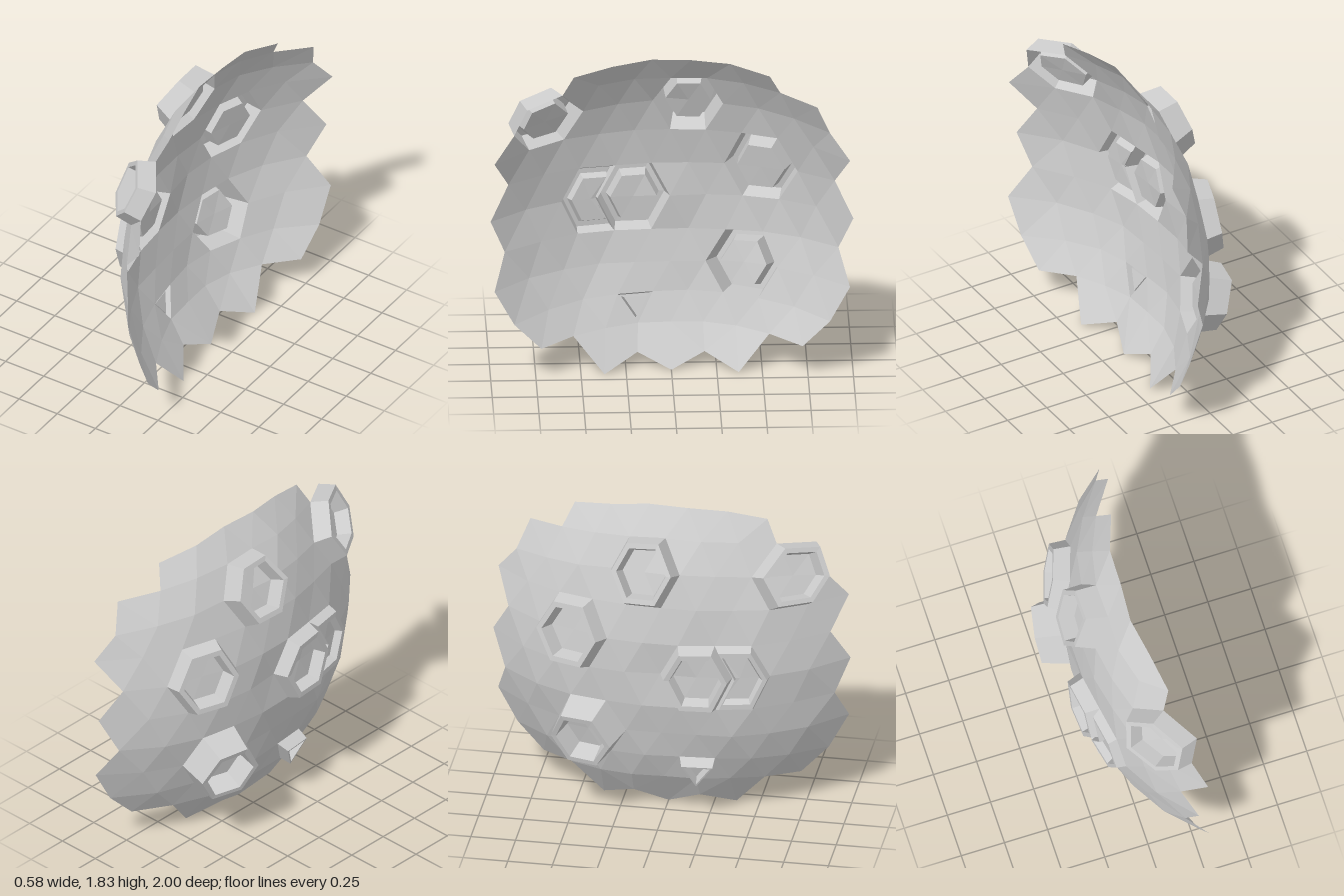
import * as THREE from 'three';

const CENTRE_Y = 0.92;
// shallow bowl, a little flatter vertically than sideways
const depth = (y, z) => -0.165 + 0.385 * Math.pow(Math.hypot(0.96 * (y - CENTRE_Y), z), 2.8);

// small repeatable unevenness for the facets
const jitter = (i, j) => {
  const s = Math.sin(i * 12.99 + j * 78.23) * 43758.5;
  return (s - Math.floor(s) - 0.5) * 0.025;
};

// rows of the shell, bottom to top: height, half width, edges, droop, zigzag
const ROWS = [
  [0.045, 0.37, 4, 0, -0.042],
  [0.23, 0.72, 8, 0.09, 0],
  [0.39, 0.87, 9, 0.07, 0],
  [0.55, 0.98, 10, 0.01, 0],
  [0.73, 0.92, 9, 0, 0],
  [0.93, 1.0, 10, 0, 0],
  [1.12, 0.9, 9, 0, 0],
  [1.33, 0.98, 10, 0.04, 0],
  [1.52, 0.87, 9, 0.11, 0],
  [1.69, 0.8, 8, 0.13, 0],
  [1.84, 0.54, 5, 0.25, 0],
];

// craters: centre z and y, height, how far the floor sinks below the lip
const CRATERS = [
  { z: -0.09, y: 1.52, h: 0.12, sink: 0.09 },
  { z: 0.68, y: 1.47, h: 0.1, sink: 0.08 },
  { z: -0.5, y: 1.12, h: 0.09, sink: 0.09 },
  { z: 0.2, y: 0.93, h: 0.08, sink: 0.07 },
  { z: 0.4, y: 0.93, h: 0.05, sink: 0.04 },
  { z: -0.39, y: 0.54, h: 0.17, sink: 0.12 },
  { z: 0.19, y: 0.33, h: 0.07, sink: 0.05, single: true },
];

function facetMesh(name, tris, material) {
  const geometry = new THREE.BufferGeometry().setFromPoints(tris.flat());
  geometry.computeVertexNormals();
  const mesh = new THREE.Mesh(geometry, material);
  mesh.name = name;
  return mesh;
}

// triangle net between neighbouring rows
function shellTriangles() {
  const rows = ROWS.map(([y0, half, n, droop, zigzag], r) =>
    Array.from({ length: n + 1 }, (_, i) => {
      const z = -half + (2 * half * i) / n;
      const y = y0 - droop * z * z + (i % 2 ? -zigzag : zigzag);
      return new THREE.Vector3(depth(y, z) + jitter(r, i), y, z);
    }));
  const tris = [];
  for (let r = 0; r < rows.length - 1; r++) {
    const a = rows[r], b = rows[r + 1];
    let i = 0, j = 0;
    while (i < a.length - 1 || j < b.length - 1) {
      const stepA = j === b.length - 1 || (i < a.length - 1 && a[i + 1].z < b[j + 1].z);
      const tri = stepA ? [a[i], a[i + 1], b[j]] : [a[i], b[j + 1], b[j]];
      if (stepA) i++; else j++;
      // long slivers at row ends are left out, which notches the rim
      const zs = tri.map((p) => p.z);
      if (Math.max(...zs) - Math.min(...zs) < 0.25) tris.push(tri);
    }
  }
  return tris;
}

const centroid = (pts) =>
  pts.reduce((s, p) => s.add(p), new THREE.Vector3()).divideScalar(pts.length);

// raised rim with a sunken floor, grown from the edge of an opening
function craterTriangles(ring, { h, sink }) {
  const c = centroid(ring);
  const e = 0.01;
  const normal = new THREE.Vector3(
    -1,
    (depth(c.y + e, c.z) - depth(c.y - e, c.z)) / (2 * e),
    (depth(c.y, c.z + e) - depth(c.y, c.z - e)) / (2 * e)
  ).normalize();
  const loop = (scale, lift) => ring.map((p) =>
    p.clone().sub(c).multiplyScalar(scale).add(c).addScaledVector(normal, lift));
  const loops = [ring, loop(0.88, h), loop(0.73, h), loop(0.64, h - sink)];
  const tris = [];
  const n = ring.length;
  for (let k = 0; k < n; k++) {
    const m = (k + 1) % n;
    for (let l = 0; l < loops.length - 1; l++) {
      const lo = loops[l], hi = loops[l + 1];
      tris.push([lo[k], lo[m], hi[m]], [lo[k], hi[m], hi[k]]);
    }
    const floor = loops[loops.length - 1];
    tris.push([floor[k], floor[m], c.clone().addScaledVector(normal, h - sink)]);
  }
  return tris;
}

export function createModel() {
  const group = new THREE.Group();
  group.name = 'crateredShell';
  const material = new THREE.MeshStandardMaterial({
    color: 0xcccccc, flatShading: true, side: THREE.DoubleSide,
  });

  let shell = shellTriangles();
  for (const crater of CRATERS) {
    const dist = (p) => Math.hypot(p.y - crater.y, p.z - crater.z);
    // open the shell: one facet, or all facets around the nearest corner
    let cut;
    if (crater.single) {
      cut = [shell.reduce((a, b) => (dist(centroid(b)) < dist(centroid(a)) ? b : a))];
    } else {
      const hub = shell.flat().reduce((a, b) => (dist(b) < dist(a) ? b : a));
      cut = shell.filter((t) => t.includes(hub));
    }
    shell = shell.filter((t) => !cut.includes(t));

    // corners on the edge of the opening, in order around its middle
    const corners = [...new Set(cut.flat())];
    const uses = (p) => cut.filter((t) => t.includes(p)).length;
    const ring = corners.filter((p) => uses(p) < cut.length || cut.length < 5);
    const mid = centroid(ring);
    const angle = (p) => Math.atan2(p.y - mid.y, p.z - mid.z);
    ring.sort((p, q) => angle(p) - angle(q));
    group.add(facetMesh('crater', craterTriangles(ring, crater), material));
  }
  group.add(facetMesh('shell', shell, material));
  return group;
}
